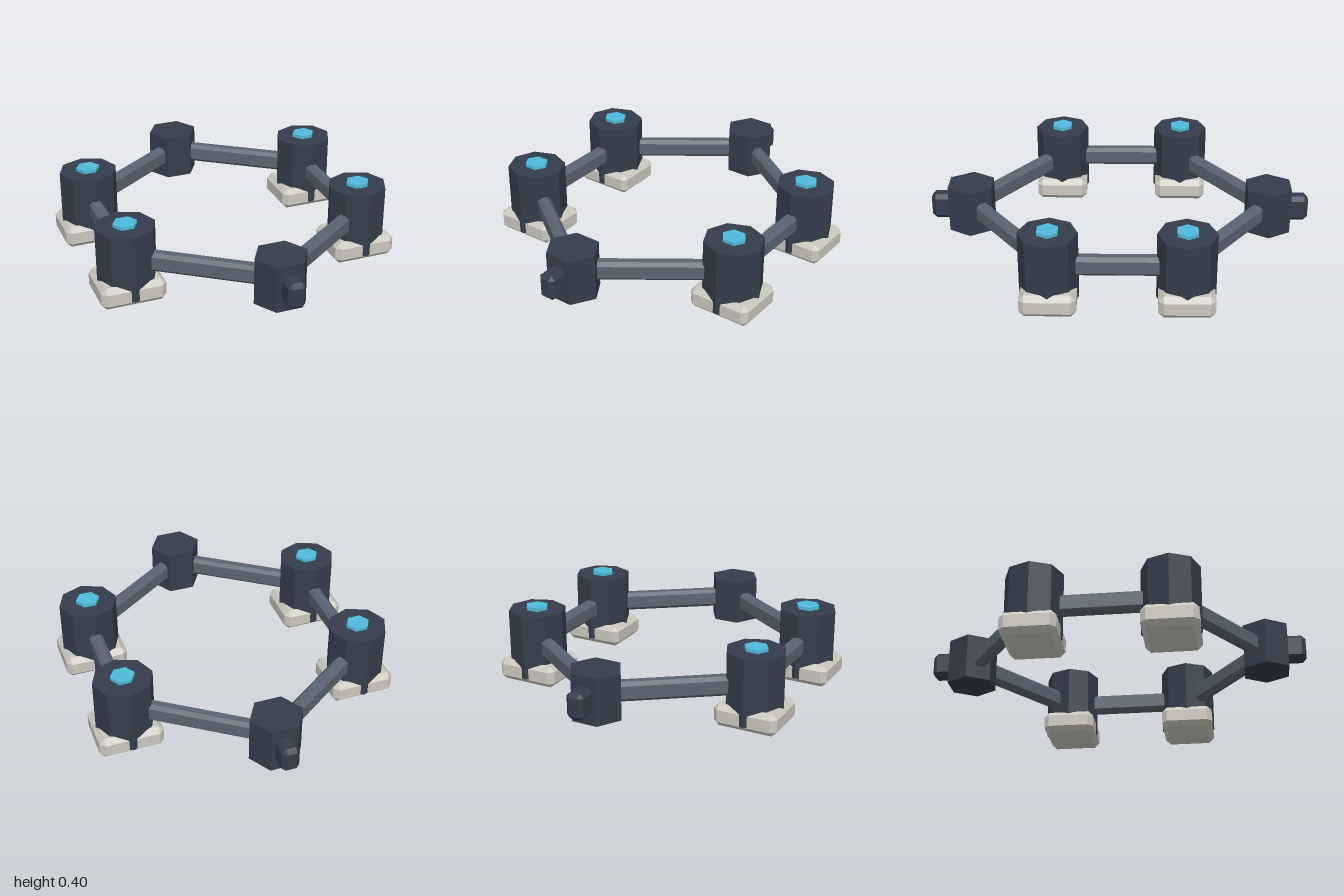
import * as THREE from 'three';
import { ConvexGeometry } from 'three/addons/geometries/ConvexGeometry.js';

const paint = (color) => new THREE.MeshStandardMaterial({ color, flatShading: true });

// Box whose edges and corners are all cut by c
function chamferBox(w, h, d, c) {
  const points = [];
  for (const x of [-1, 1]) for (const y of [-1, 1]) for (const z of [-1, 1]) {
    const a = w / 2, b = h / 2, e = d / 2;
    points.push(
      new THREE.Vector3(x * a, y * (b - c), z * (e - c)),
      new THREE.Vector3(x * (a - c), y * b, z * (e - c)),
      new THREE.Vector3(x * (a - c), y * (b - c), z * e));
  }
  return new ConvexGeometry(points);
}

// Upright prism between two heights, with separate x and z radii
function prism(rx, rz, y0, y1, sides, start = 0) {
  return new THREE.CylinderGeometry(1, 1, y1 - y0, sides, 1, false, start)
    .scale(rx, 1, rz).translate(0, (y0 + y1) / 2, 0);
}

export function createModel() {
  const model = new THREE.Group();
  const dark = paint(0x343d4b), steel = paint(0x5a6471);
  const pale = paint(0xcbc8be), cyan = paint(0x4fbbdc);
  const postX = 0.632, postZ = 0.338, hubZ = 0.79, barY = 0.21;

  const add = (parent, name, geometry, material, x = 0, y = 0, z = 0) => {
    const mesh = new THREE.Mesh(geometry, material);
    mesh.name = name;
    mesh.position.set(x, y, z);
    parent.add(mesh);
    return mesh;
  };

  // Bar joining two points of the ring
  const addBar = (name, x0, z0, x1, z1) => {
    const length = Math.hypot(x1 - x0, z1 - z0);
    const bar = add(model, name, chamferBox(0.07, 0.102, length, 0.018), steel,
      (x0 + x1) / 2, barY, (z0 + z1) / 2);
    bar.rotation.y = Math.atan2(x1 - x0, z1 - z0);
  };

  // Four corner posts on feet, each with a small coloured cap
  for (const sx of [-1, 1]) for (const sz of [-1, 1]) {
    const corner = new THREE.Group();
    corner.name = 'cornerPost';
    corner.position.set(sx * postX, 0, sz * postZ);
    model.add(corner);
    add(corner, 'foot', chamferBox(0.335, 0.118, 0.28, 0.027), pale, 0, 0.059, 0);
    add(corner, 'post', prism(0.154, 0.148, 0.03, 0.385, 8), dark);
    add(corner, 'cap', prism(0.063, 0.059, 0.37, 0.403, 6, Math.PI / 2), cyan);
    addBar('diagonalBar', sx * postX, sz * postZ, 0, sz * hubZ);
  }

  // Side bars
  for (const sx of [-1, 1]) addBar('sideBar', sx * postX, -postZ, sx * postX, postZ);

  // Front and back hubs with an outward connector
  for (const sz of [-1, 1]) {
    const hub = new THREE.Group();
    hub.name = sz > 0 ? 'frontHub' : 'backHub';
    hub.position.z = sz * hubZ;
    model.add(hub);
    add(hub, 'hubBody', prism(0.138, 0.133, 0.088, 0.333, 6, Math.PI / 2), dark);
    add(hub, 'connector', chamferBox(0.092, 0.138, 0.15, 0.022), dark, 0, barY, sz * 0.135);
  }
  return model;
}
